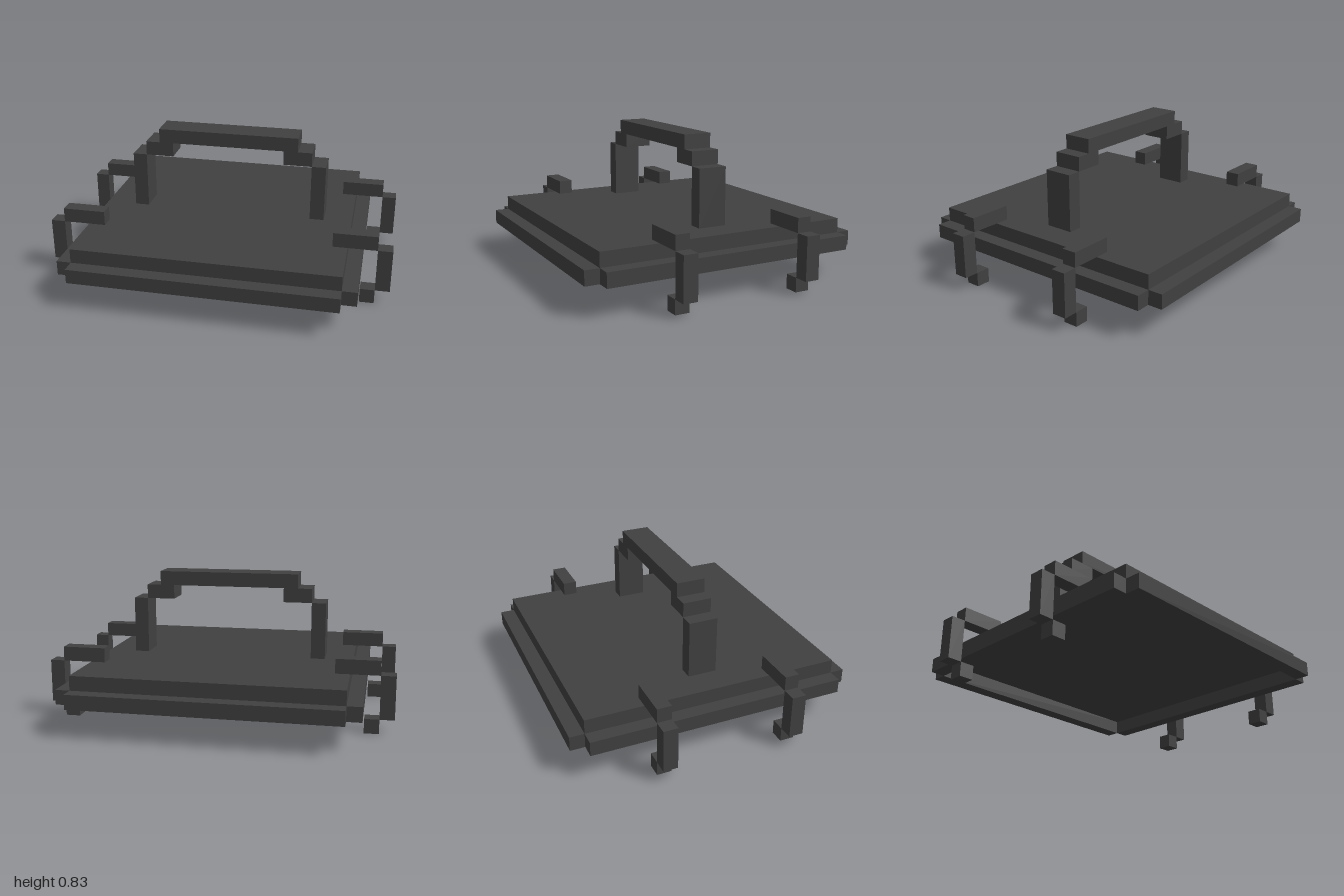
import * as THREE from 'three';

const U = 1 / 12; // block unit

export function createModel() {
  const model = new THREE.Group();
  const darkGrey = new THREE.MeshStandardMaterial({ color: 0x404040 });
  darkGrey.name = 'darkGrey';

  // Box given by its limits in block units
  function block(name, [x0, x1], [y0, y1], [z0, z1]) {
    const mesh = new THREE.Mesh(
      new THREE.BoxGeometry((x1 - x0) * U, (y1 - y0) * U, (z1 - z0) * U),
      darkGrey
    );
    mesh.position.set((x0 + x1) * U / 2, (y0 + y1) * U / 2, (z0 + z1) * U / 2);
    mesh.name = name;
    model.add(mesh);
  }
  // Range along x, mirrored for the right side
  const side = (s, a, b) => (s > 0 ? [a, b] : [-b, -a]);

  // Lid plate, with a rim below it that leaves the underside hollow
  block('lidPlate', [-9, 9], [3, 4], [-9, 9]);
  for (const s of [1, -1]) {
    block(s > 0 ? 'leftRim' : 'rightRim', side(s, 9, 10), [2, 3], [-9, 9]);
    block(s > 0 ? 'frontRim' : 'backRim', [-9, 9], [2, 3], side(s, 9, 10));
  }

  // Stepped carrying handle
  block('handleGrip', [-5, 5], [9, 10], [-1, 1]);
  for (const s of [1, -1]) {
    const label = s > 0 ? 'left' : 'right';
    block(label + 'HandlePost', side(s, 6, 7), [4, 8], [-1, 1]);
    block(label + 'HandleStep', side(s, 4, 6), [8, 9], [-1, 1]);

    // Two hooked clamps on each side
    for (const t of [1, -1]) {
      const clamp = label + (t > 0 ? 'Front' : 'Back') + 'Clamp';
      const z = side(t, 4, 5);
      block(clamp + 'Arm', side(s, 8, 11), [4, 5], z);
      block(clamp + 'Post', side(s, 11, 12), [1, 4], z);
      block(clamp + 'Hook', side(s, 10, 11), [0, 1], z);
    }
  }
  return model;
}
